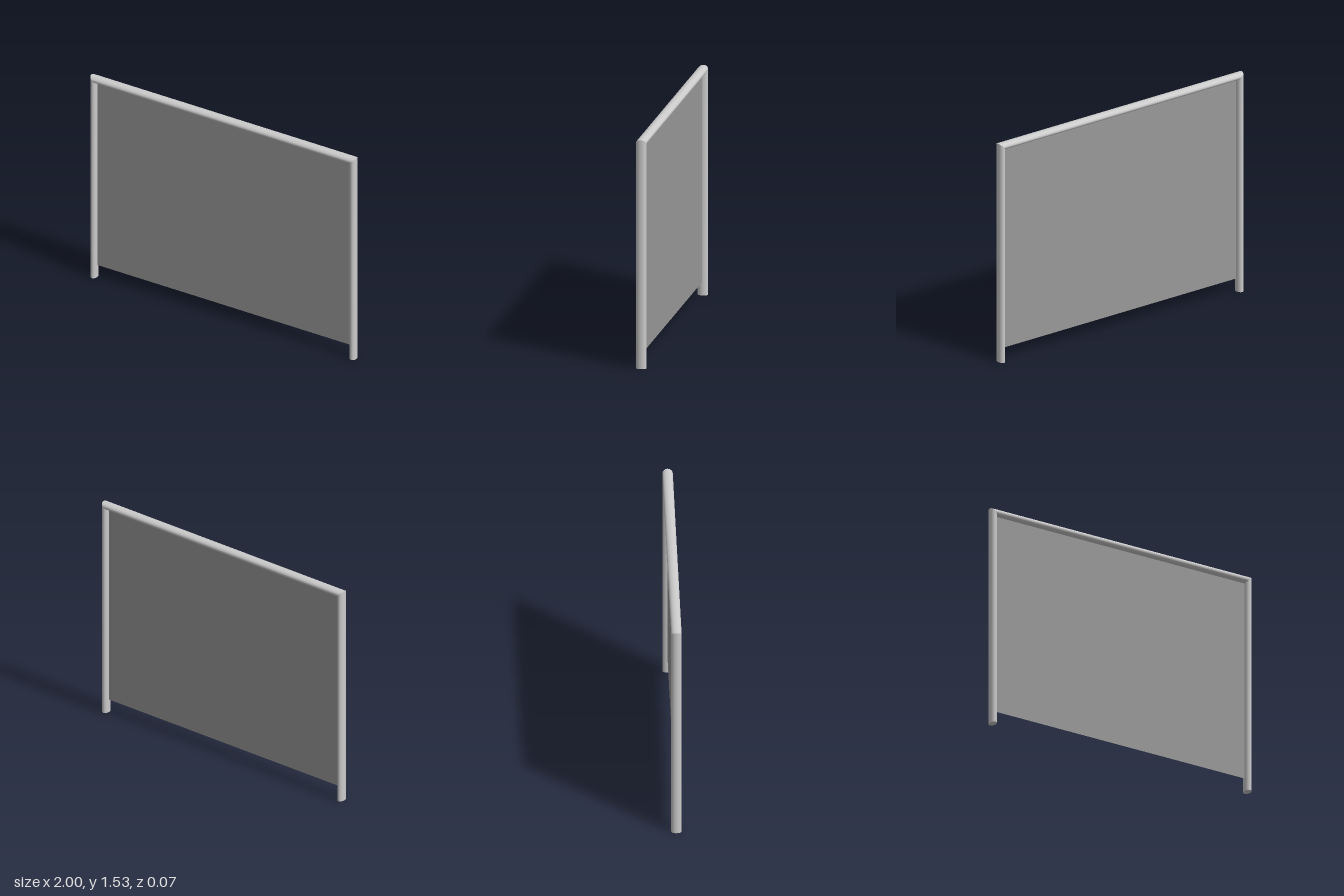
import * as THREE from 'three';

const TOP = 1.53;      // overall height
const DEEP = 0.0235;   // tube half-thickness in the plane of the frame
const WIDE = 0.034;    // tube half-width front to back

const tubeMaterial = new THREE.MeshStandardMaterial({ color: 0xcccccc });
const panelMaterial = new THREE.MeshStandardMaterial({ color: 0x999999, side: THREE.DoubleSide });

// Move vertices of a geometry by a rule
function reshape(geometry, rule) {
  const p = geometry.attributes.position;
  const v = new THREE.Vector3();
  for (let i = 0; i < p.count; i++) {
    rule(v.fromBufferAttribute(p, i));
    p.setXYZ(i, v.x, v.y, v.z);
  }
  return geometry;
}

// Upright oval tube, its top mitred at 45 degrees
function makeLeg(side) {
  const g = new THREE.CylinderGeometry(1, 1, TOP, 40);
  g.scale(DEEP, 1, WIDE);
  g.translate(side * (1 - DEEP), TOP / 2, 0);
  return reshape(g, (v) => {
    if (v.y > TOP / 2) v.y = TOP - (1 - side * v.x);
  });
}

// Horizontal oval tube, both ends mitred to meet the legs
function makeTopBar() {
  const g = new THREE.CylinderGeometry(1, 1, 2, 40, 1, true);
  g.scale(DEEP, 1, WIDE);
  g.rotateZ(Math.PI / 2);
  g.translate(0, TOP - DEEP, 0);
  return reshape(g, (v) => {
    v.x = Math.sign(v.x) * (1 - (TOP - v.y));
  });
}

export function createModel() {
  const group = new THREE.Group();
  group.name = 'framedScreen';
  const add = (name, geometry, material) => {
    const mesh = new THREE.Mesh(geometry, material);
    mesh.name = name;
    group.add(mesh);
    return mesh;
  };

  // Frame
  add('leftLeg', makeLeg(1), tubeMaterial);
  add('rightLeg', makeLeg(-1), tubeMaterial);
  add('topBar', makeTopBar(), tubeMaterial);

  // Thin sheet, its edges tucked into the tubes
  const bottom = 0.09, top = TOP - DEEP, half = 1 - DEEP;
  const panel = add('panel', new THREE.PlaneGeometry(2 * half, top - bottom), panelMaterial);
  panel.position.y = (top + bottom) / 2;

  return group;
}
